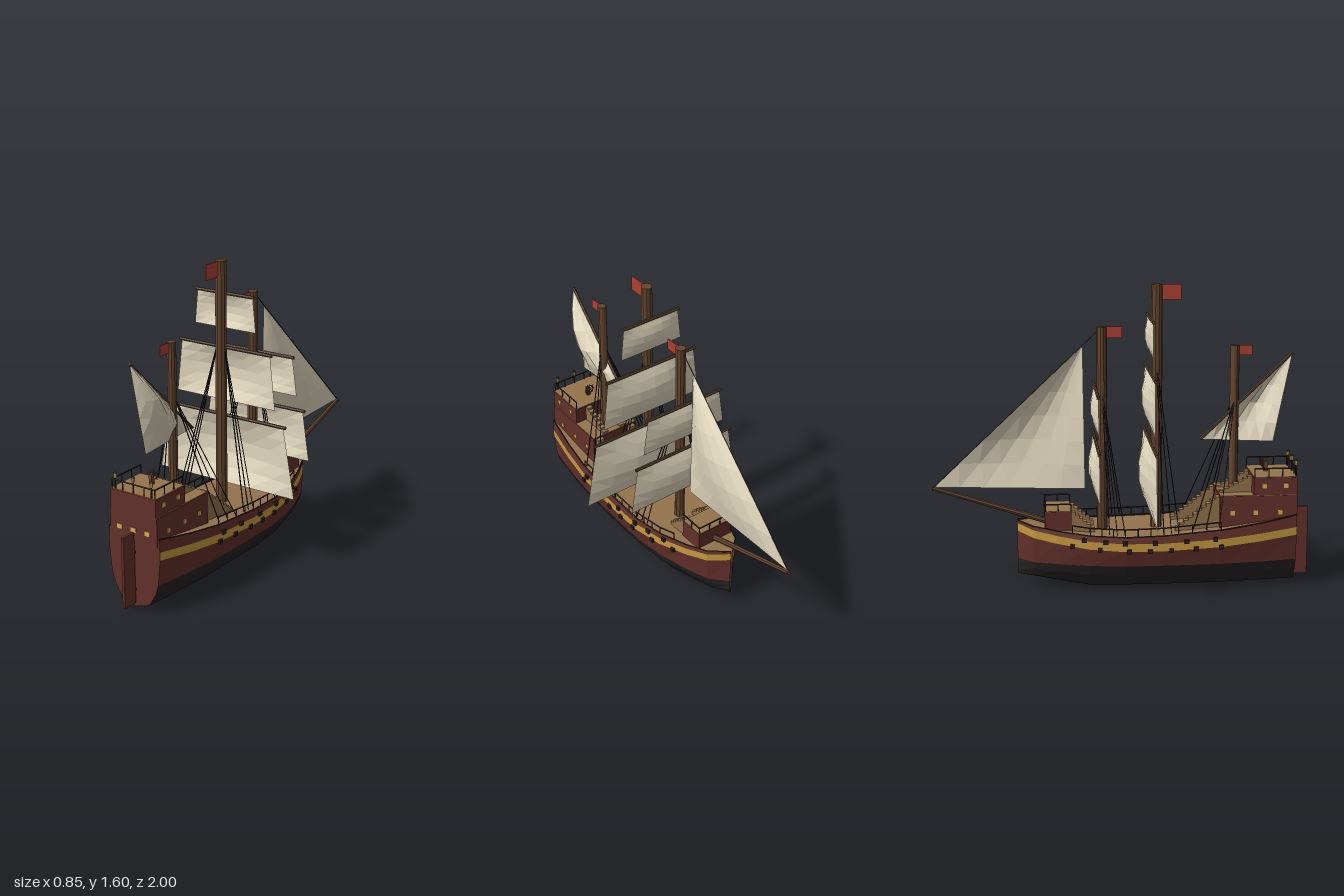
import * as THREE from 'three';

const mat = (color, extra = {}) => new THREE.MeshStandardMaterial({ color, flatShading: true, ...extra });
const two = { side: THREE.DoubleSide };
const M = {
  hull: mat(0x63302a, two), keel: mat(0x262322, two), gold: mat(0xc59a3e, two), deck: mat(0x94734c, two),
  mast: mat(0x64452e), yard: mat(0x55402a), rope: mat(0x1e1a18), sail: mat(0xe2d8be, two),
  flag: mat(0xb04034, two), dark: mat(0x2a2018), lamp: mat(0xd9b050),
};
const V = (x, y, z) => new THREE.Vector3(x, y, z);

// Hull stations, stern to bow: z, half width, keel y, gold band top y, sheer y
const STATIONS = [
  [0.91, 0.157, 0.005, 0.335, 0.4], [0.7, 0.192, 0.003, 0.312, 0.368], [0.5, 0.215, 0, 0.295, 0.343],
  [0.2, 0.222, 0, 0.281, 0.32], [0, 0.22, 0, 0.282, 0.315], [-0.18, 0.193, 0, 0.291, 0.32],
  [-0.35, 0.143, 0.03, 0.312, 0.336], [-0.47, 0.095, 0.053, 0.331, 0.352], [-0.555, 0.006, 0.07, 0.348, 0.365],
];
// Interpolated hull value at z (column 1 = half width, 4 = sheer)
function hullAt(z, col) {
  let i = 0;
  while (i < STATIONS.length - 2 && STATIONS[i + 1][0] > z) i++;
  const a = STATIONS[i], b = STATIONS[i + 1];
  return THREE.MathUtils.lerp(a[col], b[col], (a[0] - z) / (a[0] - b[0]));
}
// Half cross-section of a station, keel to sheer
function section([z, w, k, band, sheer]) {
  const up = (f) => k + (0.155 - k) * f;
  return [[0, k], [0.54, up(0.19)], [0.8, up(0.64)], [0.91, 0.155], [1, band - 0.042], [1, band], [0.965, sheer]]
    .map(([f, y]) => V(f * w, y, z));
}

function mesh(name, geo, material, parent) {
  const m = new THREE.Mesh(geo, material);
  m.name = name;
  parent.add(m);
  return m;
}
function box(name, parent, material, w, h, d, x, y, z) {
  const m = mesh(name, new THREE.BoxGeometry(w, h, d), material, parent);
  m.position.set(x, y, z);
  return m;
}
// Cylinder between two points
function rod(name, parent, material, a, b, r, sides = 6, rEnd = r) {
  const dir = b.clone().sub(a);
  const m = mesh(name, new THREE.CylinderGeometry(rEnd, r, dir.length(), sides), material, parent);
  m.position.copy(a).add(b).multiplyScalar(0.5);
  m.quaternion.setFromUnitVectors(V(0, 1, 0), dir.normalize());
  return m;
}
// Surface through rows of points
function loft(name, parent, material, rows) {
  const n = rows[0].length, idx = [];
  for (let i = 0; i < rows.length - 1; i++)
    for (let j = 0; j < n - 1; j++) {
      const a = i * n + j, b = a + n;
      idx.push(a, b, a + 1, a + 1, b, b + 1);
    }
  const geo = new THREE.BufferGeometry().setFromPoints(rows.flat());
  geo.setIndex(idx);
  geo.computeVertexNormals();
  return mesh(name, geo, material, parent);
}
// Cloth stretched over four corners, bulging along a vector
function sail(parent, name, tl, tr, bl, br, bulge, nu = 6, nv = 5) {
  const rows = [];
  for (let j = 0; j <= nv; j++) {
    const v = j / nv, row = [];
    for (let i = 0; i <= nu; i++) {
      const u = i / nu;
      const p = tl.clone().lerp(tr, u).lerp(bl.clone().lerp(br, u), v);
      row.push(p.addScaledVector(bulge, Math.sin(Math.PI * u) * Math.sin(Math.PI * v)));
    }
    rows.push(row);
  }
  loft(name, parent, M.sail, rows);
}
// Posts with a top bar along a path of base points
function railing(parent, path, h, spacing = 0.07) {
  const g = new THREE.Group();
  g.name = 'railing';
  parent.add(g);
  const lift = (p) => p.clone().setY(p.y + h);
  for (let i = 0; i < path.length - 1; i++) {
    const a = path[i], b = path[i + 1], n = Math.max(1, Math.round(a.distanceTo(b) / spacing));
    rod('railBar', g, M.dark, lift(a), lift(b), 0.004, 5);
    for (let k = 0; k <= n; k++) {
      const p = a.clone().lerp(b, k / n);
      rod('railPost', g, M.dark, p, lift(p), 0.003, 5);
    }
  }
}
// Solid steps rising from z0 to z1
function stairs(parent, x, w, z0, z1, y0, y1, base, n = 8) {
  for (let i = 0; i < n; i++) {
    const top = y0 + (y1 - y0) * (i + 1) / n;
    box('stairStep', parent, M.deck, w, top - base, Math.abs(z1 - z0) / n, x, (top + base) / 2, z0 + (z1 - z0) * (i + 0.5) / n);
  }
}

function buildHull(g) {
  const secs = STATIONS.map(section);
  for (const s of [1, -1]) {
    const strip = (name, m, from, to) => loft(name, g, m, secs.map((c) => {
      const row = c.slice(from, to + 1).map((p) => V(p.x * s, p.y, p.z));
      return s > 0 ? row.reverse() : row;
    }));
    strip('lowerHull', M.keel, 0, 3);
    strip('hullSide', M.hull, 3, 4);
    strip('goldBand', M.gold, 4, 5);
    strip('bulwark', M.hull, 5, 6);
    // Gun ports in two rows
    const port = (z, y) => box('gunPort', g, M.dark, 0.022, 0.022, 0.024, s * (hullAt(z, 1) - 0.001), y, z);
    [0.47, 0.32, 0.155, 0, -0.1, -0.21].forEach((z) => port(z, hullAt(z, 3) + 0.003));
    [0.5, 0.37, 0.24, 0.13, 0.02, -0.13, -0.27].forEach((z) => port(z, hullAt(z, 3) - 0.04));
    // Gunwale trim and side railing
    STATIONS.slice(0, -1).forEach(([z, w, , , y], i) => {
      const [z2, w2, , , y2] = STATIONS[i + 1];
      rod('gunwale', g, M.dark, V(s * w * 0.965, y, z), V(s * w2 * 0.965, y2, z2), 0.004, 5);
    });
    railing(g, [0.5, 0.35, 0.2, 0, -0.18, -0.27].map((z) => V(s * hullAt(z, 1) * 0.965, hullAt(z, 4), z)), 0.042);
  }
  loft('mainDeck', g, M.deck, secs.map((c) => [-1, 1].map((s) => V(s * c[6].x, c[6].y - 0.006, c[6].z))));
  loft('transom', g, M.hull, secs[0].map((p) => [V(-p.x, p.y, p.z), V(p.x, p.y, p.z)]).reverse());
  box('rudder', g, M.hull, 0.014, 0.375, 0.083, 0, 0.217, 0.9585);
  for (const y of [0.1, 0.3]) box('rudderHinge', g, M.dark, 0.012, 0.015, 0.02, 0, y, 0.915);
}

function buildCastles(g) {
  // Stern castle, two tiers
  box('sternCastleLower', g, M.hull, 0.286, 0.185, 0.41, 0, 0.4125, 0.707);
  box('quarterDeck', g, M.deck, 0.282, 0.006, 0.406, 0, 0.505, 0.707);
  box('sternCastleUpper', g, M.hull, 0.276, 0.095, 0.232, 0, 0.5525, 0.796);
  box('poopDeck', g, M.deck, 0.272, 0.006, 0.228, 0, 0.6, 0.796);
  box('castleDoor', g, M.dark, 0.05, 0.11, 0.008, 0, 0.39, 0.501);
  for (const x of [-0.085, 0, 0.085]) box('sternWindow', g, M.lamp, 0.032, 0.024, 0.008, x, 0.415, 0.911);
  for (const s of [1, -1]) {
    for (const z of [0.82, 0.69, 0.57]) box('sideWindow', g, M.lamp, 0.008, 0.024, 0.024, s * 0.143, 0.415, z);
    for (const z of [0.85, 0.735]) box('sideWindow', g, M.lamp, 0.008, 0.024, 0.024, s * 0.138, 0.557, z);
    stairs(g, s * 0.105, 0.04, 0.27, 0.502, 0.32, 0.5, 0.31, 10);
    stairs(g, s * 0.055, 0.034, 0.51, 0.682, 0.505, 0.595, 0.5, 7);
    stairs(g, s * 0.07, 0.042, -0.15, -0.272, 0.32, 0.425, 0.31, 6);
  }
  railing(g, [V(-0.13, 0.6, 0.685), V(-0.13, 0.6, 0.905), V(0.13, 0.6, 0.905), V(0.13, 0.6, 0.685)], 0.048);
  // Stern lanterns
  for (const x of [-0.11, 0, 0.11]) {
    rod('lanternPost', g, M.dark, V(x, 0.6, 0.905), V(x, 0.665, 0.905), 0.004);
    rod('lantern', g, M.lamp, V(x, 0.66, 0.905), V(x, 0.682, 0.905), 0.008, 6, 0.01);
    rod('lanternCap', g, M.dark, V(x, 0.682, 0.905), V(x, 0.692, 0.905), 0.011, 6, 0.002);
  }
  // Steering wheel
  box('wheelStand', g, M.mast, 0.018, 0.055, 0.02, 0, 0.628, 0.765);
  const wheel = mesh('steeringWheel', new THREE.TorusGeometry(0.024, 0.0035, 5, 12), M.mast, g);
  wheel.position.set(0, 0.648, 0.748);
  for (let i = 0; i < 4; i++) {
    const a = i * Math.PI / 4, d = V(Math.cos(a), Math.sin(a), 0).multiplyScalar(0.033);
    rod('wheelSpoke', g, M.mast, wheel.position.clone().sub(d), wheel.position.clone().add(d), 0.002, 4);
  }
  // Forecastle
  box('forecastle', g, M.hull, 0.21, 0.1, 0.14, 0, 0.38, -0.342);
  box('forecastleDeck', g, M.deck, 0.206, 0.006, 0.136, 0, 0.43, -0.342);
  railing(g, [V(-0.1, 0.43, -0.275), V(-0.1, 0.43, -0.408), V(0.1, 0.43, -0.408), V(0.1, 0.43, -0.275)], 0.04, 0.066);
}

// Mast with flag, square sails [yardY, yardHalf, footY, footHalf, bulge] and shrouds
function mast(parent, { name, z, r, top, flag, sails = [], shroudY, feet }) {
  const g = new THREE.Group();
  g.name = name;
  parent.add(g);
  rod('mastPole', g, M.mast, V(0, 0.3, z), V(0, top, z), r, 10, r * 0.95);
  const [fw, fh] = flag;
  box('flag', g, M.flag, 0.006, fh, fw, 0, top - fh / 2, z + r + fw / 2 - 0.004);
  const zs = z - r - 0.004;
  for (const [y, half, footY, foot, bulge] of sails) {
    rod('yard', g, M.yard, V(-half, y, zs), V(half, y, zs), 0.009, 6);
    sail(g, 'squareSail', V(-half * 0.96, y, zs), V(half * 0.96, y, zs), V(-foot, footY, zs), V(foot, footY, zs), V(0, 0, -bulge));
  }
  for (const s of [1, -1])
    for (const f of feet)
      rod('shroud', g, M.rope, V(s * r * 0.6, shroudY, z), V(s * hullAt(f, 1) * 0.95, hullAt(f, 4) + 0.01, f), 0.003, 4);
  return g;
}

export function createModel() {
  const ship = new THREE.Group();
  ship.name = 'sailingShip';
  buildHull(ship);
  buildCastles(ship);

  mast(ship, {
    name: 'mainMast', z: 0.18, r: 0.031, top: 1.6, flag: [0.1, 0.08], shroudY: 1.18, feet: [0.28, 0.24, 0.2],
    sails: [[1.425, 0.175, 1.245, 0.187, 0.027], [1.143, 0.284, 0.86, 0.305, 0.042], [0.78, 0.37, 0.405, 0.424, 0.056]],
  });
  mast(ship, {
    name: 'foreMast', z: -0.105, r: 0.028, top: 1.385, flag: [0.08, 0.06], shroudY: 1.05, feet: [0, -0.04, -0.08],
    sails: [[1.055, 0.235, 0.85, 0.255, 0.03], [0.775, 0.306, 0.505, 0.335, 0.042]],
  });
  const mizzen = mast(ship, {
    name: 'mizzenMast', z: 0.59, r: 0.025, top: 1.28, flag: [0.07, 0.052], shroudY: 1.0, feet: [0.35, 0.42, 0.49],
  });

  // Slanted yard and triangular sail on the aft mast
  const peak = V(-0.015, 1.24, 0.89), tack = V(-0.015, 0.785, 0.41);
  rod('lateenYard', mizzen, M.yard, peak, tack, 0.008);
  sail(mizzen, 'lateenSail', peak, peak, V(-0.005, 0.765, 0.8), tack, V(0.085, 0, 0));

  // Bowsprit, forestay and jib
  const tip = V(0, 0.545, -0.993);
  rod('bowsprit', ship, M.mast, V(0, 0.355, -0.4), tip, 0.016, 8, 0.012);
  rod('forestay', ship, M.rope, V(0, 1.365, -0.125), tip, 0.003, 4);
  const head = V(0, 1.285, -0.205);
  sail(ship, 'jib', head, head, V(0, 0.525, -0.195), V(0, 0.55, -0.985), V(0.062, 0, 0), 6, 6);
  return ship;
}
